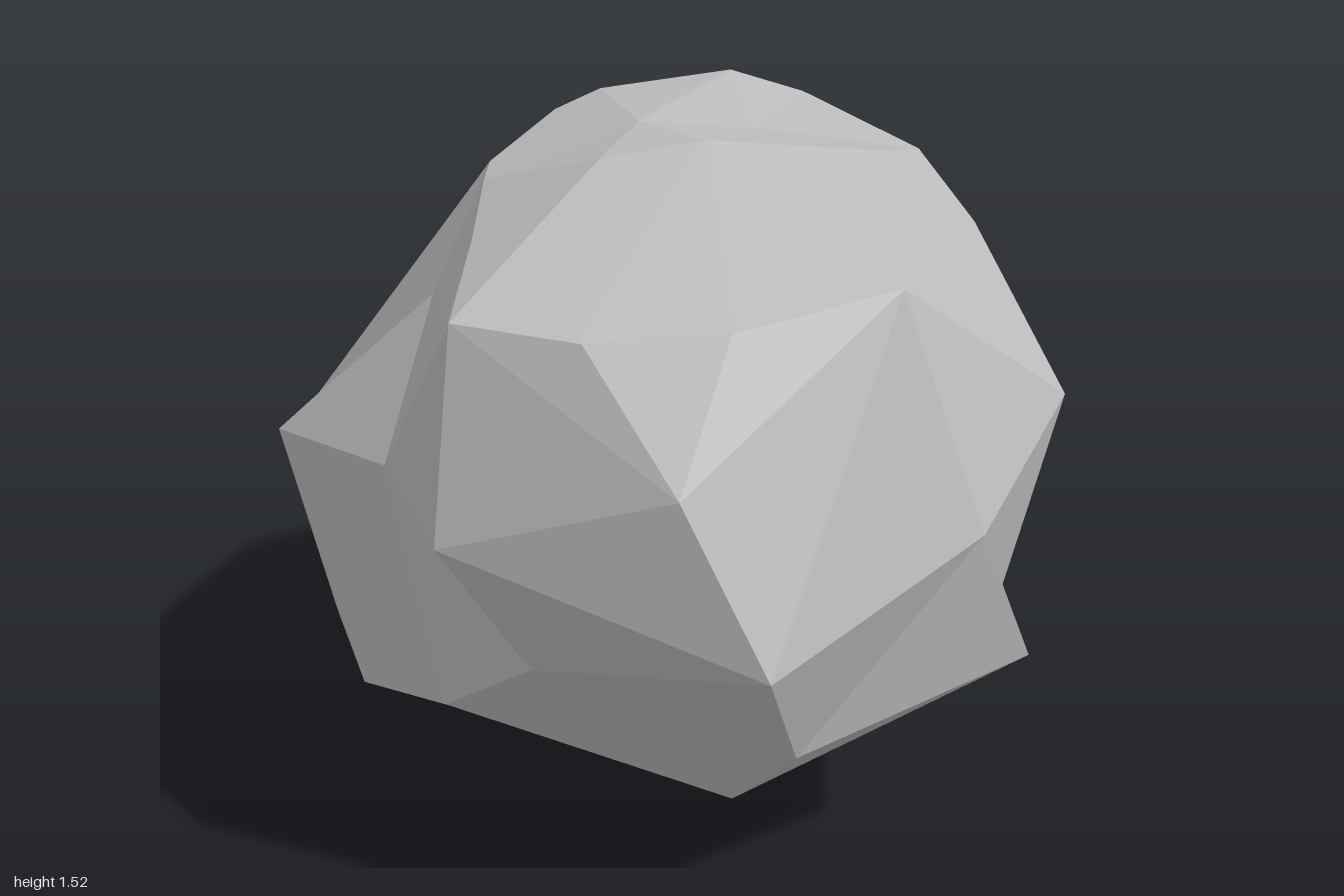
import * as THREE from 'three';

// Rings of the boulder, each running front -> left (+x) -> back -> right -> front.
// Columns of every ring line up; repeated points collapse into triangles.
const foot = [-0.02, 0, 0.11];
const keel = [0.05, 0.19, 0.565];

const lower = [
  [0.11, 0.445, 0.83], [0.63, 0.54, 0.69], [0.71, 0.51, 0.34], [0.8, 0.45, 0],
  [0.8, 0.345, -0.385], [0.5, 0.41, -0.65], [0.13, 0.395, -0.64], [-0.19, 0.265, -0.58],
  [-0.52, 0.245, -0.56], [-0.74, 0.305, -0.23], [-0.69, 0.295, 0.11],
  [-0.53, 0.41, 0.44], [-0.375, 0.59, 0.65],
];
const girth = [
  [0.01, 0.71, 1], [0.47, 0.87, 0.8], [0.79, 0.985, 0.4], [0.835, 0.92, -0.21],
  [0.755, 0.89, -0.68], [0.53, 0.845, -0.93], [0.28, 0.845, -1], [0.01, 0.84, -0.99],
  [-0.44, 0.83, -0.73], [-0.75, 0.77, -0.49], [-0.84, 0.8, -0.19],
  [-0.62, 0.885, 0.28], [-0.55, 0.88, 0.69],
];
const rim = [
  [-0.02, 1.295, 0.79], [0.31, 1.34, 0.73], [0.41, 1.49, 0.29], [0.58, 1.425, 0],
  [0.54, 1.355, -0.32], [0.465, 1.455, -0.535], [0.28, 1.515, -0.525], [-0.045, 1.49, -0.48],
  [-0.16, 1.455, -0.43], [-0.345, 1.41, -0.12], [-0.37, 1.4, 0],
  [-0.425, 1.35, 0.29], [-0.5, 1.29, 0.62], [-0.28, 1.28, 0.75],
];
lower.push(lower[0]);
girth.push(girth[0]);

// Underside: most columns meet at the foot, the front ones at the keel
const bottom = lower.map((p, i) => (i === 0 || i >= 12 ? keel : foot));

// Shoulder: follows the rim, with a brow, a side knob and a hollow
const shoulder = rim.slice();
shoulder[0] = shoulder[13] = [-0.14, 1.04, 0.92];
shoulder[3] = [0.685, 1.28, 0.09];
shoulder[10] = shoulder[11] = [-0.49, 1.17, 0.04];

// Crown: a front peak and a middle knoll around a shallow dip
const peak = [0.04, 1.525, 0.28];
const ridge = [-0.17, 1.495, 0.275];
const knoll = [-0.05, 1.52, 0.05];
const dip = [0.2, 1.492, 0.035];
const crown = [
  peak, rim[2], rim[2], rim[3], rim[5], rim[5], rim[6],
  knoll, knoll, knoll, knoll, ridge, ridge, ridge,
];
const top = crown.map((p, i) => (i === 0 || i >= 11 ? peak : dip));

// Quads folded inward instead of outward, as 'ring:column'
const dents = new Set(['1:0', '1:1', '1:7', '1:11', '2:4', '2:9']);

function stitchRings(rings) {
  const out = [];
  const vec = (p) => new THREE.Vector3(...p);
  const addTriangle = (a, b, c) => {
    const area = b.clone().sub(a).cross(c.clone().sub(a)).length();
    if (area > 1e-5) out.push(a, b, c);
  };
  for (let r = 0; r + 1 < rings.length; r++) {
    const n = rings[r].length;
    for (let i = 0; i < n; i++) {
      const j = (i + 1) % n;
      const [a, b, c, d] = [rings[r][i], rings[r][j], rings[r + 1][j], rings[r + 1][i]].map(vec);
      // split each quad along the diagonal that bulges outward, unless dented
      const normal = b.clone().sub(a).cross(c.clone().sub(a));
      const bulges = d.clone().sub(a).dot(normal) <= 0;
      if (bulges !== dents.has(`${r}:${i}`)) {
        addTriangle(a, b, c);
        addTriangle(a, c, d);
      } else {
        addTriangle(a, b, d);
        addTriangle(b, c, d);
      }
    }
  }
  const geometry = new THREE.BufferGeometry().setFromPoints(out);
  geometry.computeVertexNormals(); // unshared corners give flat facets
  return geometry;
}

export function createModel() {
  const group = new THREE.Group();
  group.name = 'rock';
  const stone = new THREE.MeshStandardMaterial({ color: 0xbcbcbc });
  stone.name = 'stone grey';
  const boulder = new THREE.Mesh(
    stitchRings([bottom, lower, girth, shoulder, rim, crown, top]), stone);
  boulder.name = 'boulder';
  group.add(boulder);
  return group;
}
